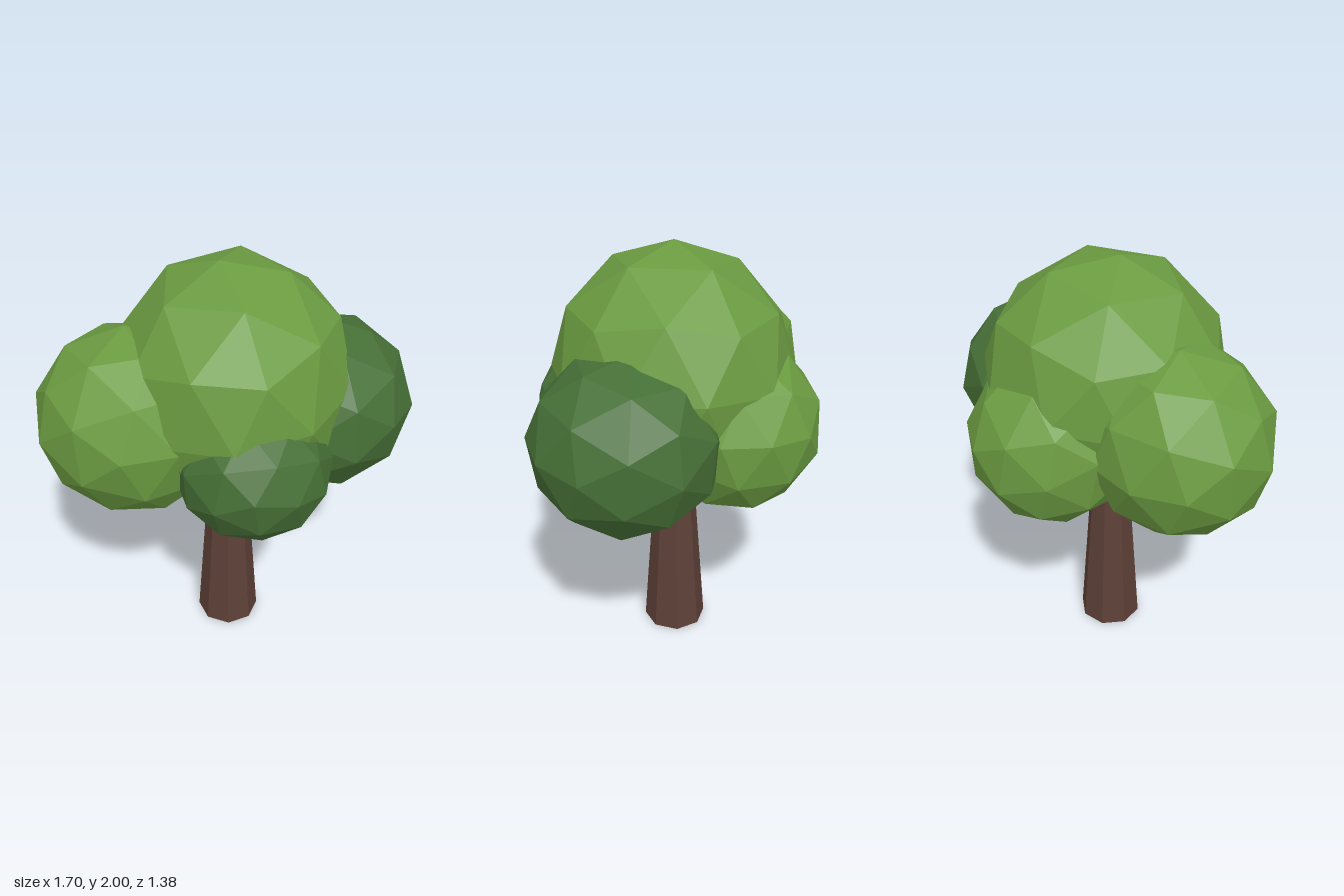
import * as THREE from 'three';

const lightLeaf = new THREE.MeshStandardMaterial({ color: 0x6b9b41 });
lightLeaf.name = 'light leaf green';
const darkLeaf = new THREE.MeshStandardMaterial({ color: 0x466f36 });
darkLeaf.name = 'dark leaf green';
const bark = new THREE.MeshStandardMaterial({ color: 0x5d4037 });
bark.name = 'bark brown';

// One faceted clump of leaves; a corner of the icosahedron points along aim.
function leafClump(name, material, center, radius, aim, spin = 0) {
  const geometry = new THREE.IcosahedronGeometry(1, 1);
  const corner = new THREE.Vector3(0, 1, (1 + Math.sqrt(5)) / 2).normalize();
  const up = new THREE.Vector3(0, 1, 0);
  geometry.applyQuaternion(new THREE.Quaternion().setFromUnitVectors(corner, up));
  geometry.rotateY(spin);
  const direction = new THREE.Vector3(...aim).normalize();
  geometry.applyQuaternion(new THREE.Quaternion().setFromUnitVectors(up, direction));
  geometry.scale(...radius);
  geometry.computeVertexNormals();
  const mesh = new THREE.Mesh(geometry, material);
  mesh.name = name;
  mesh.position.set(...center);
  return mesh;
}

export function createModel() {
  const tree = new THREE.Group();
  tree.name = 'tree';

  // Tapered eight-sided trunk, running up into the crown
  const trunkShape = new THREE.CylinderGeometry(0.078, 0.155, 1.1, 8).toNonIndexed();
  trunkShape.computeVertexNormals();
  const trunk = new THREE.Mesh(trunkShape, bark);
  trunk.name = 'trunk';
  trunk.position.set(0, 0.55, 0.01);
  tree.add(trunk);

  // Crown: a large top clump with four smaller ones around it
  tree.add(
    leafClump('topLeaves', lightLeaf, [0.02, 1.42, 0], [0.55, 0.583, 0.57], [-0.06, 0.58, 0.04], 0.3),
    leafClump('rightLeaves', lightLeaf, [-0.42, 1.29, 0.11], [0.45, 0.44, 0.42], [-0.03, 0.03, 0.41], 0.3),
    leafClump('leftLeaves', darkLeaf, [0.44, 1.25, -0.09], [0.425, 0.41, 0.43], [0.41, 0.01, -0.12], 0.2),
    leafClump('frontLeaves', darkLeaf, [0.1, 1.18, 0.34], [0.35, 0.32, 0.35], [-0.01, 0.05, 0.34], 0.1),
    leafClump('backLeaves', lightLeaf, [-0.05, 1.22, -0.31], [0.39, 0.395, 0.39], [-0.01, 0.05, -0.38], 0.2),
  );
  return tree;
}
